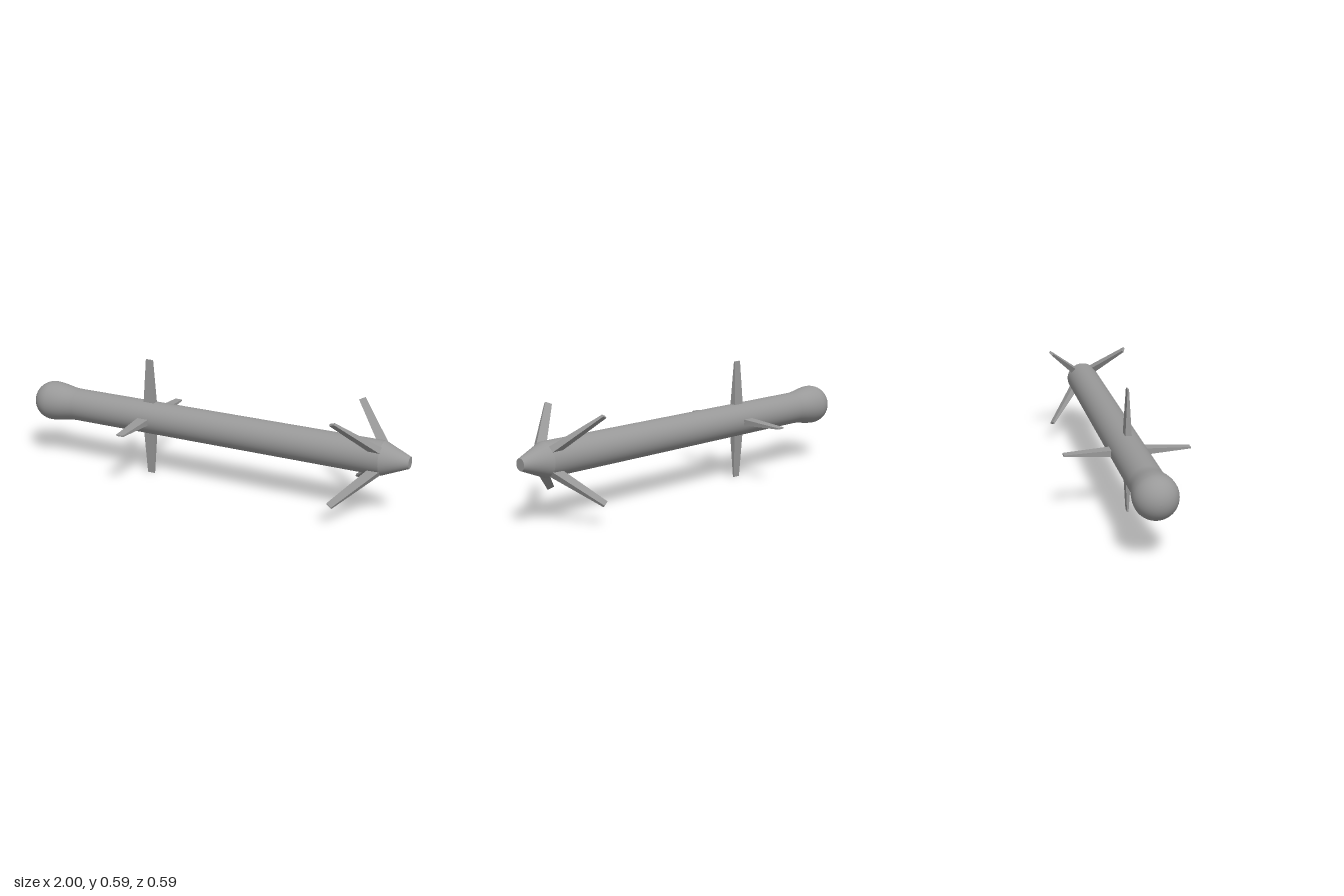
import * as THREE from 'three';

const AXIS_Y = 0.296; // height of the body's long axis
const material = new THREE.MeshStandardMaterial({ color: 0x999999 });

// Surface of revolution about the x axis from [x, radius] pairs
function turned(name, profile) {
  const points = profile.map(([x, r]) => new THREE.Vector2(r, x));
  const geometry = new THREE.LatheGeometry(points, 48);
  geometry.rotateZ(-Math.PI / 2);
  const mesh = new THREE.Mesh(geometry, material);
  mesh.name = name;
  return mesh;
}

// Tapered fin: a box whose corners move to root and tip edges.
// Each edge holds the rear and front corner as [x, radius], and a thickness.
function finGeometry(root, tip) {
  const geometry = new THREE.BoxGeometry(1, 1, 1);
  const pos = geometry.attributes.position;
  for (let i = 0; i < pos.count; i++) {
    const end = pos.getY(i) > 0 ? tip : root;
    const [x, r] = pos.getX(i) > 0 ? end.front : end.rear;
    pos.setXYZ(i, x, r, pos.getZ(i) * end.thickness);
  }
  geometry.computeVertexNormals();
  return geometry;
}

// Four copies of a fin around the body
function finRing(name, geometry, startAngle) {
  const ring = new THREE.Group();
  ring.name = name + 's';
  for (let i = 0; i < 4; i++) {
    const fin = new THREE.Mesh(geometry, material);
    fin.name = name;
    fin.rotation.x = startAngle + (i * Math.PI) / 2;
    ring.add(fin);
  }
  return ring;
}

export function createModel() {
  const model = new THREE.Group();
  model.name = 'finnedRocket';
  model.position.y = AXIS_Y;

  // Round head flowing through a smooth neck into the straight tube
  const profile = [];
  const R = 0.099;
  const tube = 0.081;
  for (let i = 0; i <= 14; i++) {
    const a = (i / 14) * (Math.PI / 2);
    profile.push([-1 + R * (1 - Math.cos(a)), R * Math.sin(a)]);
  }
  for (let i = 1; i <= 8; i++) {
    const t = i / 8;
    const ease = t * t * (3 - 2 * t);
    profile.push([-1 + R + 0.15 * t, R + (tube - R) * ease]);
  }
  profile.push([0.874, tube]);
  model.add(turned('body', profile));

  // Tapered end with a flat cap
  model.add(turned('tailCone', [[0.874, tube], [1, 0.028]]));
  model.add(turned('tailCap', [[1, 0.028], [1, 0]]));

  // Straight fins, up, down and to both sides
  const straight = finGeometry(
    { rear: [-0.365, 0.05], front: [-0.304, 0.05], thickness: 0.033 },
    { rear: [-0.353, 0.296], front: [-0.316, 0.296], thickness: 0.007 }
  );
  model.add(finRing('straightFin', straight, 0));

  // Swept fins on the diagonals, their roots sunk into the body
  const swept = finGeometry(
    { rear: [0.85, 0.04], front: [0.885, 0.07], thickness: 0.033 },
    { rear: [0.681, 0.268], front: [0.709, 0.285], thickness: 0.011 }
  );
  model.add(finRing('sweptFin', swept, Math.PI / 4));

  const root = new THREE.Group();
  root.add(model);
  return root;
}
